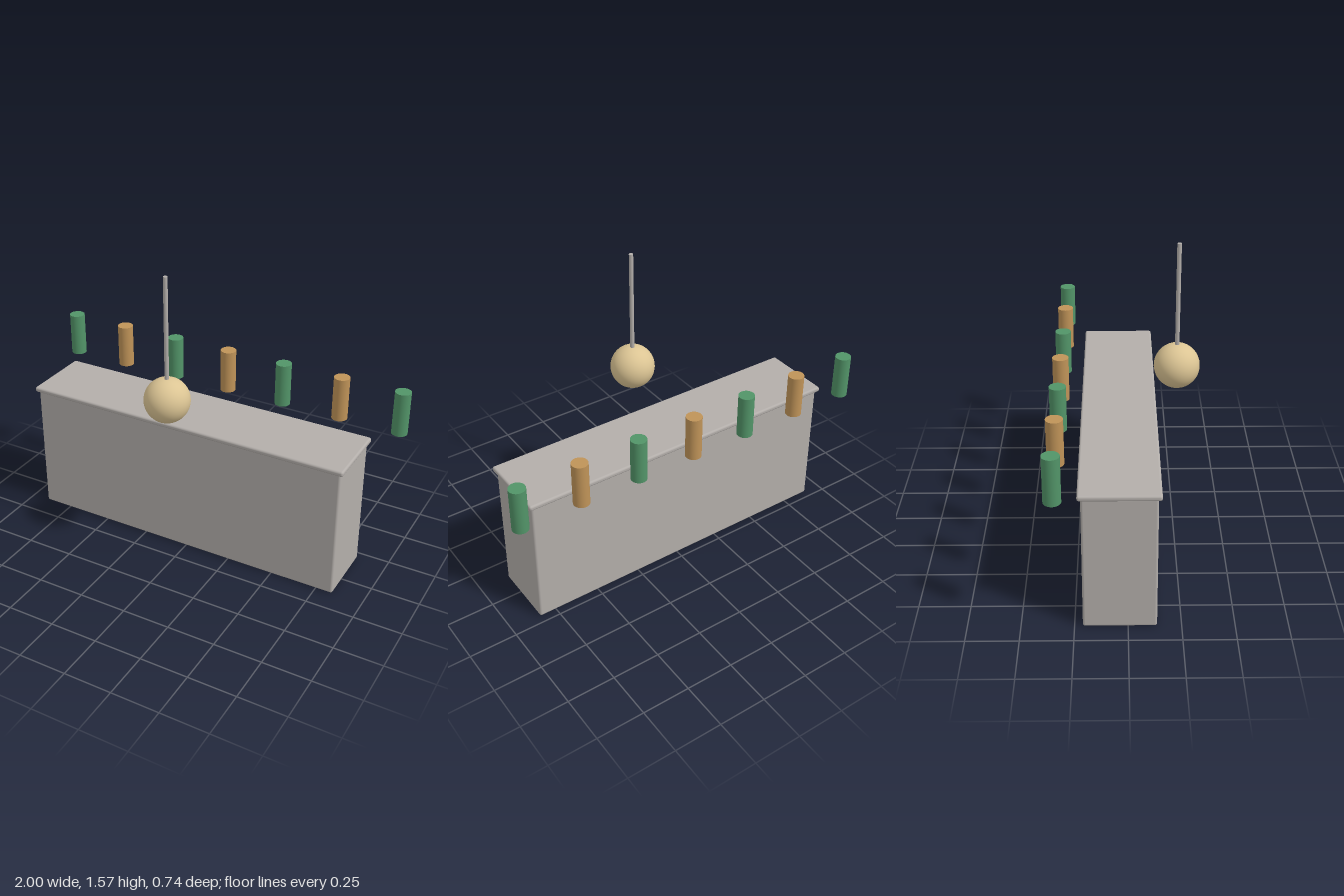
import * as THREE from 'three';
import { RoundedBoxGeometry } from 'three/addons/geometries/RoundedBoxGeometry.js';

function mat(name, color) {
  const m = new THREE.MeshStandardMaterial({ color });
  m.name = name;
  return m;
}

export function createModel() {
  const group = new THREE.Group();
  const stone = mat('stone grey', 0xb3aeaa);
  const green = mat('bottle green', 0x529468);
  const amber = mat('bottle amber', 0xbf9358);
  const cream = mat('lamp cream', 0xdcc594);

  function add(name, geometry, material, x, y, z) {
    const mesh = new THREE.Mesh(geometry, material);
    mesh.name = name;
    mesh.position.set(x, y, z);
    group.add(mesh);
  }

  // Counter with a slightly overhanging top
  add('counterBody', new RoundedBoxGeometry(1.743, 0.705, 0.347, 3, 0.012), stone, -0.031, 0.3525, -0.038);
  add('counterTop', new RoundedBoxGeometry(1.773, 0.028, 0.378, 3, 0.011), stone, -0.031, 0.713, -0.038);

  // Row of bottles behind the counter, alternating colours
  const bottle = new THREE.CylinderGeometry(0.041, 0.041, 0.231, 32);
  for (let i = 0; i < 7; i++) {
    add('bottle' + (i + 1), bottle, i % 2 ? amber : green, (i - 3) * 0.3197, 0.8445, -0.33);
  }

  // Hanging globe lamp on a thin rod
  add('lampGlobe', new THREE.SphereGeometry(0.115, 40, 28), cream, -0.031, 0.931, 0.252);
  add('lampRod', new THREE.CylinderGeometry(0.011, 0.011, 0.53, 16), stone, -0.031, 1.305, 0.252);

  return group;
}
